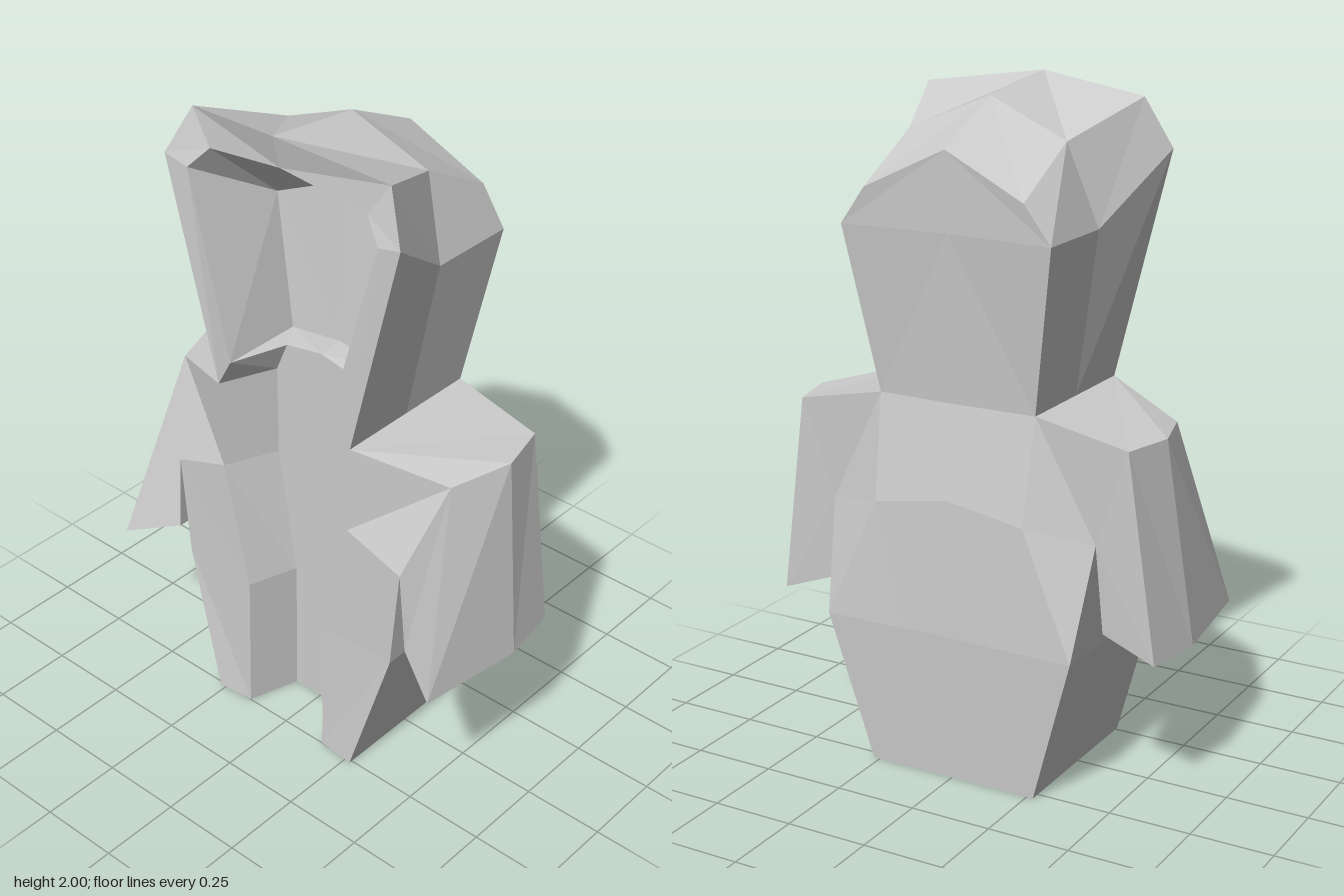
import * as THREE from 'three';

// Fan of triangles over a polygon, counter-clockwise from its front
function fan(pts) {
  const tris = [];
  for (let i = 1; i < pts.length - 1; i++) tris.push([pts[0], pts[i], pts[i + 1]]);
  return tris;
}

// Skin between successive cross-sections
function loft(...rows) {
  const tris = [];
  for (let r = 0; r < rows.length - 1; r++) {
    for (let c = 0; c < rows[r].length - 1; c++) {
      const [a, b] = [rows[r][c], rows[r][c + 1]];
      const [d, e] = [rows[r + 1][c], rows[r + 1][c + 1]];
      tris.push([a, b, e], [a, e, d]);
    }
  }
  return tris;
}

// Mesh from triangles of the +x half, built on the given sides
function part(name, tris, sides = [1, -1]) {
  const pos = [];
  for (const s of sides) {
    for (const [a, b, c] of tris) {
      if (a === b || b === c || a === c) continue;
      for (const p of s > 0 ? [a, b, c] : [a, c, b]) pos.push(p[0] * s, p[1], p[2]);
    }
  }
  const geo = new THREE.BufferGeometry();
  geo.setAttribute('position', new THREE.Float32BufferAttribute(pos, 3));
  geo.computeVertexNormals();
  const mesh = new THREE.Mesh(geo, new THREE.MeshStandardMaterial({ color: 0xcccccc, flatShading: true }));
  mesh.name = name;
  return mesh;
}

export function createModel() {
  const group = new THREE.Group();
  group.name = 'hoodedRobe';

  // Robe sections: front centre, recess, lapel edge, side front, side back, back fold, back centre
  const hem = [[0, 0, 0.09], [0.1, 0, 0.09], [0.15, 0, 0.25], [0.27, 0, 0.26],
    [0.27, 0, -0.28], [0.13, 0, -0.28], [0, 0, -0.28]];
  const hip = [[0, 0.45, 0.085], [0.1, 0.45, 0.085], [0.15, 0.45, 0.24], [0.4, 0.45, 0.235],
    [0.4, 0.45, -0.31], [0.15, 0.45, -0.305], [0, 0.45, -0.3]];
  const waist = [[0, 0.85, 0.08], [0.17, 0.85, 0.08], [0.24, 0.85, 0.24], [0.43, 0.78, 0.235],
    [0.43, 0.78, -0.22], [0.24, 0.82, -0.295], [0, 0.86, -0.295]];
  const neckF = [0.25, 1.13, 0.24], neckB = [0.25, 1.13, -0.24], nape = [0, 1.13, -0.245];
  const rimFoot = [0.19, 1.23, 0.25];
  const collar = [[0, 1.14, 0.08], [0.17, 1.14, 0.08], neckF];
  const chestTop = [[0, 1.26, 0.08], [0.13, 1.235, 0.08], rimFoot];

  group.add(part('robe', [
    ...loft(hem, hip, waist),
    ...loft(waist.slice(0, 3), collar, chestTop),
    ...loft(waist.slice(5), [neckB, nape]),
    ...fan([hem[4], hem[3], hem[2], hem[1], hem[0], hem[6]]),
  ]));

  // Sleeves: inner front, front, outer, back, inner back, and round again
  const cuff = [[0.45, 0.52, 0.23], [0.605, 0.47, 0.315], [0.645, 0.46, -0.03],
    [0.615, 0.46, -0.22], [0.45, 0.52, -0.21]];
  const shoulder = [waist[3], [0.51, 1.06, 0.12], [0.57, 1.07, -0.07], [0.53, 1.07, -0.23], waist[4]];
  const sleeve = [
    ...loft([...cuff, cuff[0]], [...shoulder, shoulder[0]]),
    ...loft([waist[2], waist[3]], [neckF, shoulder[1]]),
    ...loft([waist[4], waist[5]], [shoulder[3], neckB]),
    ...fan([neckF, ...shoulder.slice(1, 4), neckB]),
    ...fan([...cuff].reverse()),
  ];
  group.add(part('leftSleeve', sleeve, [1]), part('rightSleeve', sleeve, [-1]));

  // Hood sections from neck up to the crown centre
  const rim = [neckF, [0.42, 1.81, 0.245], [0.35, 1.955, 0.2], [0, 2, 0.26]];
  const mid = [[0.25, 1.13, 0], [0.33, 1.62, -0.03], [0.25, 1.86, -0.07], [0, 1.965, -0.05]];
  const rear = [neckB, [0.33, 1.62, -0.305], [0.25, 1.73, -0.31], [0, 1.85, -0.295]];
  const innerRim = [rimFoot, [0.34, 1.79, 0.24], [0.28, 1.855, 0.21], [0, 1.9, 0.235]];
  group.add(part('hood', [
    ...loft(rear, mid, rim, innerRim),
    ...loft([neckB, nape], [rear[1], [0, 1.62, -0.285]], [rear[2], rear[3]]),
  ]));

  // Hollow of the hood with its flat back panel and the shelf over the chest
  const faceLow = [0.18, 1.24, 0], faceHigh = [0.26, 1.64, -0.03];
  const faceFoot = [0, 1.265, 0], faceTop = [0, 1.76, -0.03];
  group.add(part('hoodLining', [
    ...loft(innerRim, [faceLow, faceHigh, faceHigh, faceTop]),
    ...fan([chestTop[1], rimFoot, faceLow]),
    ...loft([chestTop[0], chestTop[1]], [faceFoot, faceLow]),
  ]));
  group.add(part('facePanel', loft([faceFoot, faceLow], [faceTop, faceHigh])));

  return group;
}
